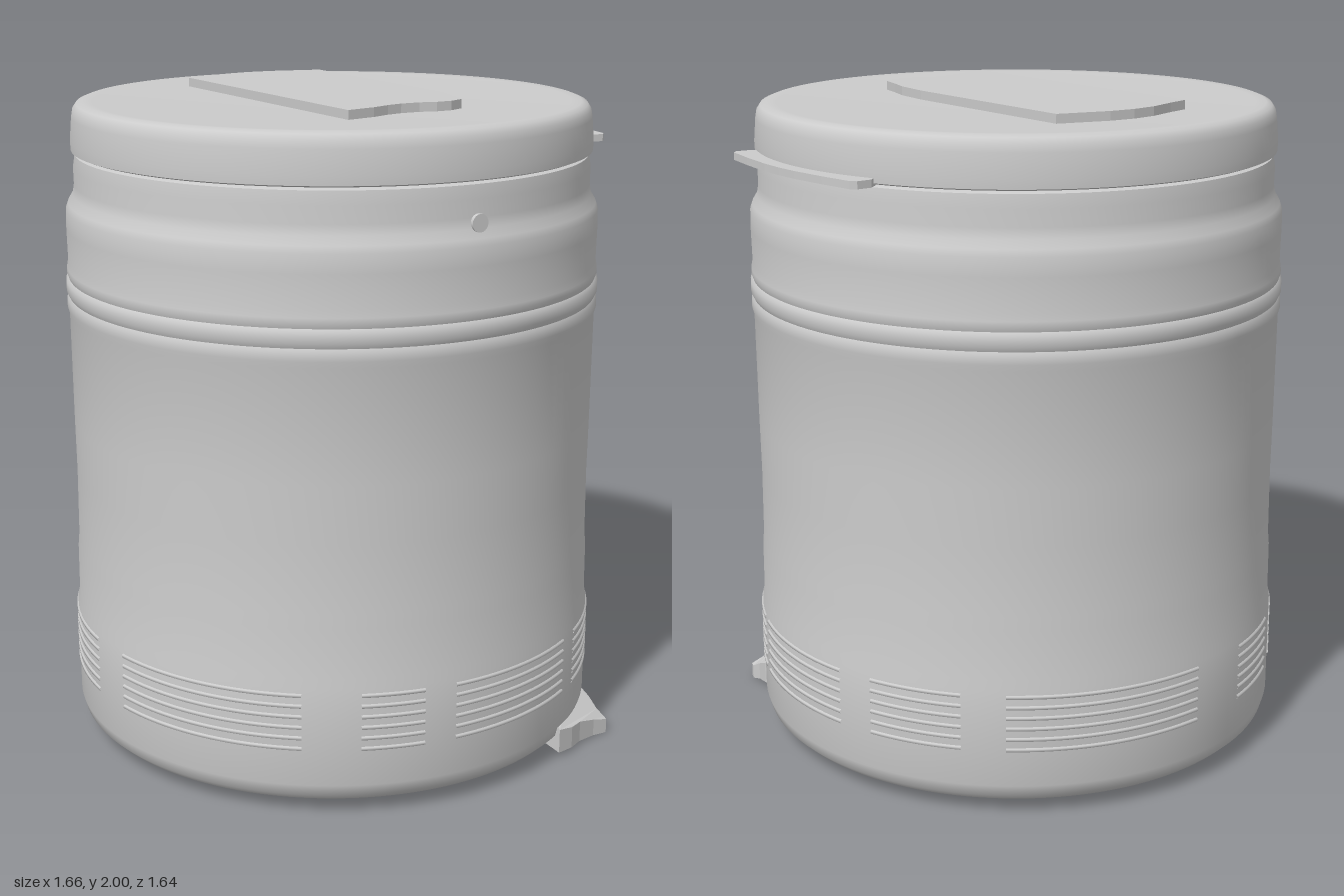
import * as THREE from 'three';
import { mergeGeometries, toCreasedNormals } from 'three/addons/utils/BufferGeometryUtils.js';

const grey = new THREE.MeshStandardMaterial({ color: 0xcccccc });
const thin = new THREE.MeshStandardMaterial({ color: 0xcccccc, side: THREE.DoubleSide });

function part(name, geometry, material = grey) {
  const mesh = new THREE.Mesh(geometry, material);
  mesh.name = name;
  return mesh;
}

// Round part from [radius, height] pairs, bottom to top
function turned(profile) {
  const points = profile.map(([r, y]) => new THREE.Vector2(r, y));
  return toCreasedNormals(new THREE.LatheGeometry(points, 128), 0.7);
}

// Flat plate from an [x, z] outline, lying between two heights
function plate(outline, y0, y1) {
  const shape = new THREE.Shape(outline.map(([x, z]) => new THREE.Vector2(x, -z)));
  const geo = new THREE.ExtrudeGeometry(shape, { depth: y1 - y0, bevelEnabled: false });
  return geo.rotateX(-Math.PI / 2).translate(0, y0, 0);
}

export function createModel() {
  const group = new THREE.Group();
  const jar = new THREE.Group();
  jar.name = 'jar';
  jar.position.x = -0.01;
  group.add(jar);

  // Container wall with rounded foot, hoop ridges, shoulder and neck
  jar.add(part('body', turned([
    [0, 0.025], [0.7, 0.025], [0.75, 0.03], [0.785, 0.043], [0.808, 0.065], [0.818, 0.1],
    [0.818, 0.4], [0.812, 0.43], [0.811, 0.58], [0.807, 0.62], [0.805, 0.83], [0.807, 1.0],
    [0.809, 1.34], [0.815, 1.36], [0.814, 1.385], [0.809, 1.395], [0.816, 1.41], [0.816, 1.44],
    [0.808, 1.45], [0.813, 1.465], [0.812, 1.48], [0.808, 1.5], [0.81, 1.6], [0.809, 1.655],
    [0.802, 1.675], [0.787, 1.7], [0.782, 1.73], [0.783, 1.78], [0.777, 1.82], [0.74, 1.83], [0, 1.83],
  ])));

  // Cap with a rounded rim
  jar.add(part('lid', turned([
    [0, 1.828], [0.775, 1.828], [0.788, 1.833], [0.789, 1.86], [0.783, 1.93], [0.779, 1.952],
    [0.768, 1.968], [0.75, 1.975], [0.72, 1.973], [0, 1.973],
  ])));

  // Raised text-free label ribs around the foot: [start angle, end angle]
  const panels = [
    [-1.4, -0.64], [-0.43, -0.2], [-0.08, 0.5], [0.6, 1.2], [1.25, 1.8],
    [1.94, 2.29], [2.45, 3.2], [3.45, 3.75], [3.9, 4.7],
  ];
  const ribs = [];
  for (const [a, b] of panels) {
    for (let i = 0; i < 6; i++) {
      const section = [[0.815, -0.008], [0.8225, -0.004], [0.8225, 0.004], [0.815, 0.008]]
        .map(([r, y]) => new THREE.Vector2(r, y + 0.215 + i * 0.033));
      ribs.push(new THREE.LatheGeometry(section, 20, a, b - a));
    }
  }
  jar.add(part('labelRibs', mergeGeometries(ribs), thin));

  // Small round stud on the neck
  const stud = new THREE.CylinderGeometry(0.026, 0.026, 0.03, 20).rotateX(Math.PI / 2);
  const studMesh = part('neckStud', stud);
  studMesh.position.set(0, 1.715, 0.778);
  jar.add(studMesh);

  // Lifting tab under the lid, on the left side
  group.add(part('lidTab', plate([
    [0.7, -0.3], [0.73, -0.325], [0.775, -0.325], [0.79, -0.31], [0.808, -0.2], [0.822, -0.08],
    [0.825, 0], [0.822, 0.08], [0.808, 0.2], [0.79, 0.31], [0.775, 0.325], [0.73, 0.32], [0.7, 0.3],
  ], 1.825, 1.847)));

  // Raised plate on top, with a bowed back edge and a wavy front edge
  group.add(part('topPlate', plate([
    [-0.245, -0.495], [-0.17, -0.515], [-0.08, -0.545], [0, -0.553], [0.08, -0.545], [0.16, -0.522],
    [0.237, -0.5], [0.235, 0.15], [0.222, 0.27], [0.2, 0.34], [0.18, 0.415], [0.13, 0.437],
    [0.08, 0.437], [0.03, 0.422], [-0.03, 0.42], [-0.08, 0.43], [-0.14, 0.452], [-0.235, 0.47],
  ], 1.965, 2)));

  // Pointed lip at the foot, sloping down and outwards
  const lip = plate([
    [0.36, 0.65], [0.5, 0.5], [0.6, 0.5], [0.612, 0.57], [0.605, 0.62], [0.612, 0.65],
    [0.605, 0.67], [0.55, 0.675], [0.48, 0.695], [0.43, 0.72], [0.37, 0.735],
  ], 0, 1);
  const pos = lip.attributes.position;
  for (let i = 0; i < pos.count; i++) {
    const r = Math.hypot(pos.getX(i), pos.getZ(i));
    const out = THREE.MathUtils.clamp((r - 0.77) / 0.12, 0, 1);
    pos.setY(i, pos.getY(i) > 0.5 ? 0.13 - 0.085 * out : 0.028 * (1 - out));
  }
  lip.computeVertexNormals();
  group.add(part('footLip', lip));

  return group;
}
